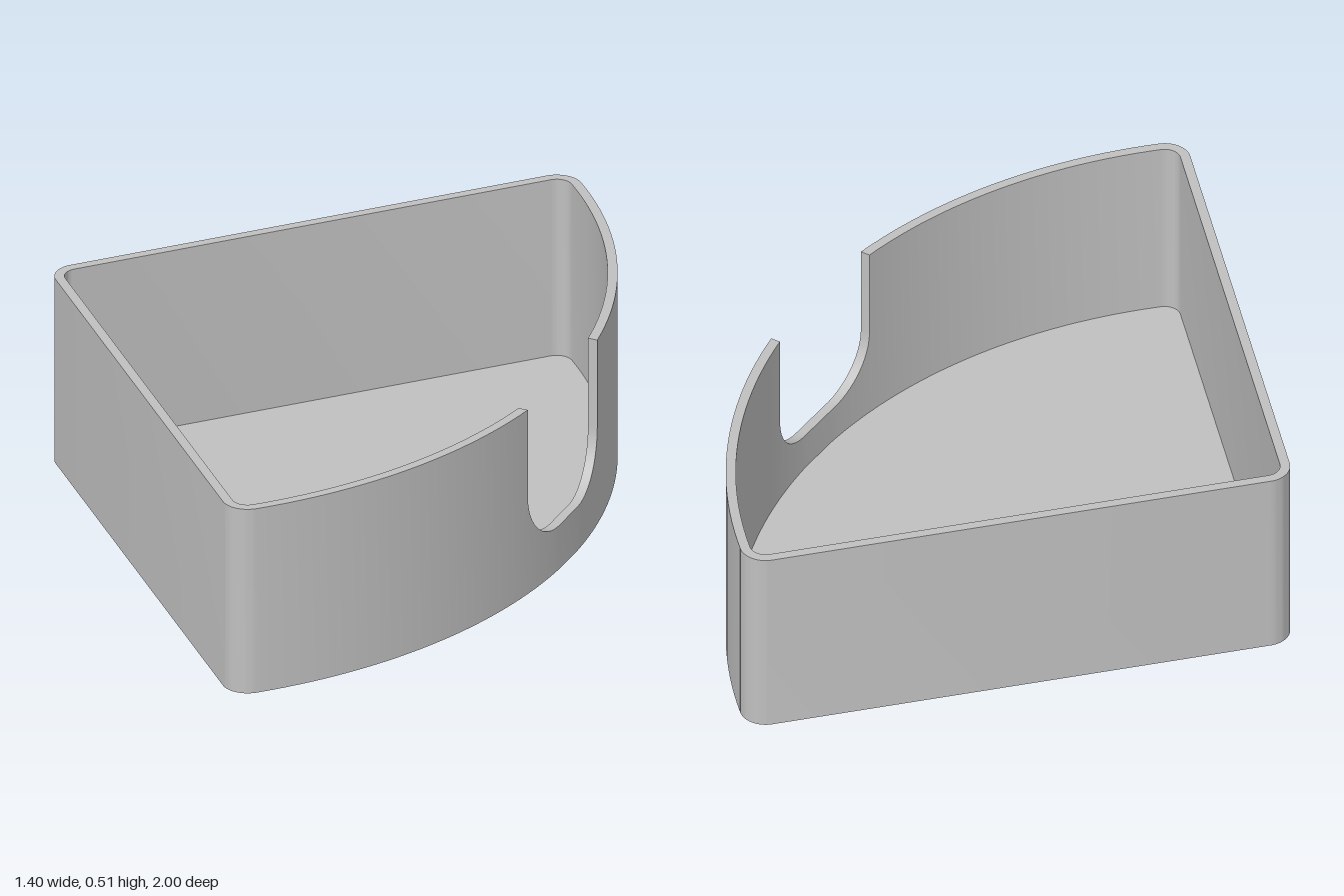
import * as THREE from 'three';
import { toCreasedNormals } from 'three/addons/utils/BufferGeometryUtils.js';

const H = 0.515, FLOOR = 0.022, WALL = 0.025;    // height, floor and wall thickness
const R = 1.381, CX = 0.7 - R;                   // curved wall radius and centre
const FILLET = 0.065, APEX_X = -0.635, TIP_X = 0.245, TIP_Z = 0.935;
const NOTCH_W = 0.21, NOTCH_Y = 0.122, NOTCH_R = 0.15;

// Rounded wedge outline, inset by t: list of [x, z, top height]
function outline(t) {
  const pts = [];
  const arc = (cx, cz, r, a0, a1, n) => {
    for (let i = 0; i <= n; i++) {
      const a = a0 + (a1 - a0) * i / n;
      pts.push([cx + r * Math.cos(a), cz + r * Math.sin(a), H]);
    }
  };
  const side = Math.PI / 2 + Math.atan2(TIP_X - APEX_X, TIP_Z); // straight wall normal
  const tip = Math.atan2(TIP_Z, TIP_X - CX);                    // where the curve meets the tip
  const r = FILLET - t, big = R - t;
  const gap = Math.asin(NOTCH_W / big);
  arc(APEX_X, 0, r, side, 2 * Math.PI - side, 14);
  arc(TIP_X, -TIP_Z, r, -side, -tip, 14);
  arc(CX, 0, big, -tip, -gap, 24);
  // U-shaped notch cut straight through the curved wall
  const notch = [];
  for (let i = 0; i <= 12; i++) {
    const a = Math.PI / 2 * i / 12;
    notch.push([-NOTCH_W + NOTCH_R * (1 - Math.cos(a)), NOTCH_Y + NOTCH_R * (1 - Math.sin(a))]);
  }
  const mirrored = notch.map(([z, y]) => [-z, y]).reverse();
  for (const [z, y] of [...notch, ...mirrored]) pts.push([CX + Math.sqrt(big * big - z * z), z, y]);
  arc(CX, 0, big, gap, tip, 24);
  arc(TIP_X, TIP_Z, r, tip, side, 14);
  return pts;
}

// Closed skin through equal-length cross-sections
function skin(sections) {
  const pos = [];
  sections.forEach((s, i) => {
    const n = sections[(i + 1) % sections.length];
    for (let j = 0; j < s.length - 1; j++) {
      pos.push(...s[j], ...s[j + 1], ...n[j + 1], ...s[j], ...n[j + 1], ...n[j]);
    }
  });
  const g = new THREE.BufferGeometry();
  g.setAttribute('position', new THREE.Float32BufferAttribute(pos, 3));
  return toCreasedNormals(g, 0.5);
}

export function createModel() {
  const group = new THREE.Group();
  group.name = 'wedgeTray';
  const grey = new THREE.MeshStandardMaterial({ color: 0xc0c0c0 });
  grey.name = 'grey';
  const outer = outline(0), inner = outline(WALL);
  const add = (name, sections) => {
    const mesh = new THREE.Mesh(skin(sections), grey);
    mesh.name = name;
    group.add(mesh);
  };

  // Wall: outside, rim and inside
  add('wall', outer.map(([x, z, top], i) => {
    const [u, w] = inner[i];
    return [[x, 0, z], [x, top, z], [u, top, w], [u, FLOOR, w]];
  }));
  // Floor: underside and upper face
  add('underside', outer.map(([x, z]) => [[0, 0, 0], [x, 0, z]]));
  add('floor', inner.map(([x, z]) => [[x, FLOOR, z], [0, FLOOR, 0]]));
  return group;
}
